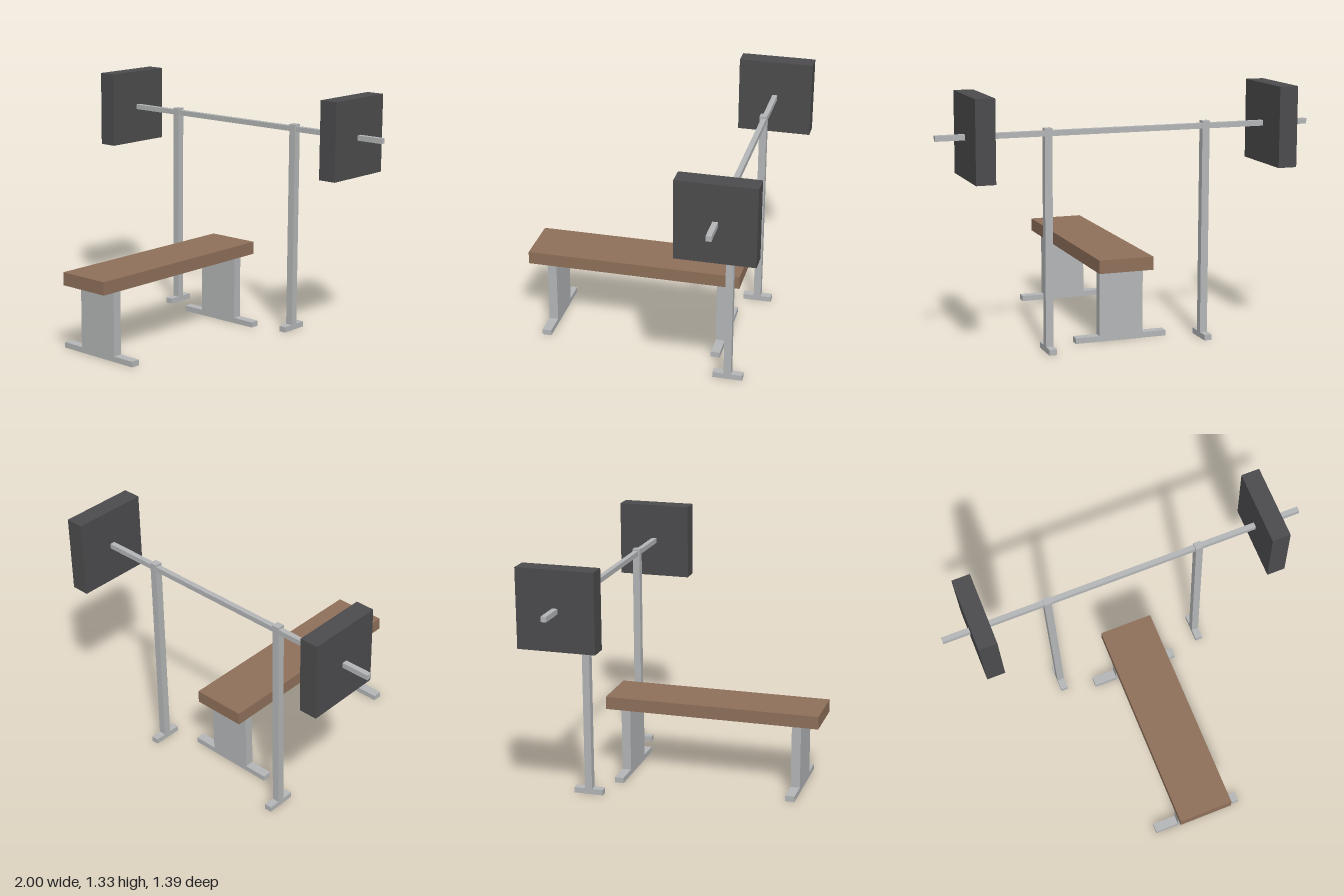
import * as THREE from 'three';

export function createModel() {
  const model = new THREE.Group();
  model.name = 'weightBench';

  const metal = new THREE.MeshStandardMaterial({ name: 'light grey metal', color: 0xb4b6b7 });
  const dark = new THREE.MeshStandardMaterial({ name: 'dark grey plate', color: 0x4c4c4e });
  const brown = new THREE.MeshStandardMaterial({ name: 'brown padding', color: 0x8f705a });

  // Box sized w x h x d, standing with its underside at height y
  function box(name, material, [w, h, d], [x, y, z]) {
    const mesh = new THREE.Mesh(new THREE.BoxGeometry(w, h, d), material);
    mesh.name = name;
    mesh.position.set(x, y + h / 2, z);
    model.add(mesh);
  }

  // Padded board on two panel legs with wide feet
  box('benchPad', brown, [0.296, 0.07, 1.18], [0, 0.382, 0.105]);
  for (const [end, z] of [['front', 0.572], ['back', -0.381]]) {
    box(end + 'BenchLeg', metal, [0.24, 0.352, 0.05], [0, 0.03, z]);
    box(end + 'BenchFoot', metal, [0.5, 0.03, 0.05], [0, 0, z]);
  }

  // Rack posts and square weights on each side
  const rackZ = -0.487;
  const barZ = -0.49;
  for (const [side, s] of [['left', 1], ['right', -1]]) {
    box(side + 'RackPost', metal, [0.04, 1.12, 0.04], [s * 0.425, 0.03, rackZ]);
    box(side + 'RackFoot', metal, [0.04, 0.03, 0.16], [s * 0.425, 0, rackZ]);
    box(side + 'WeightPlate', dark, [0.1, 0.418, 0.41], [s * 0.8, 0.915, barZ]);
  }

  // Square bar resting through the posts
  box('barbellBar', metal, [2, 0.028, 0.028], [0, 1.11, barZ]);

  return model;
}
